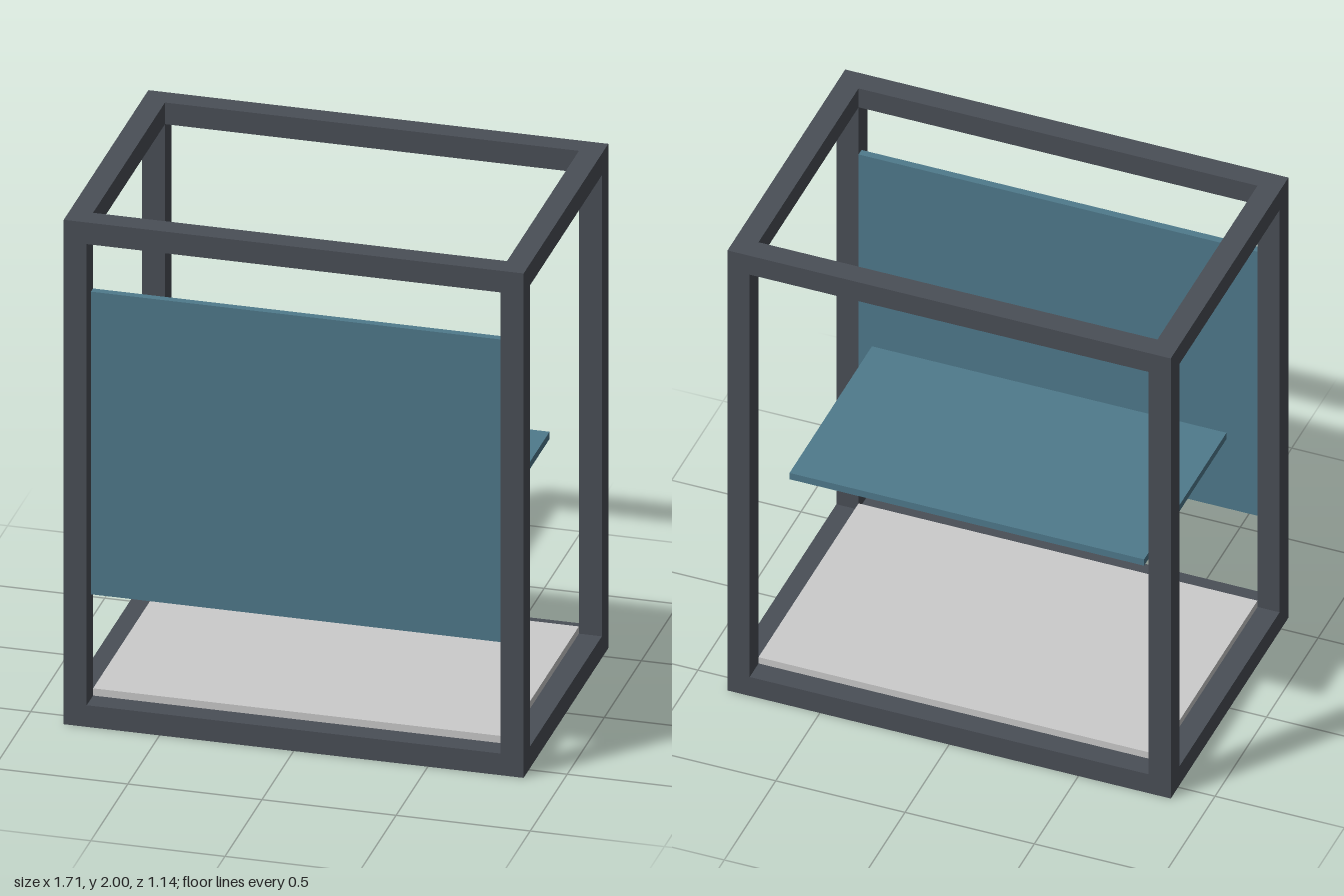
import * as THREE from 'three';

const U = 1 / 35;            // panel thickness
const BAR = 3 * U;           // square bar section
const W = 60 * U, H = 2, D = 40 * U;

export function createModel() {
  const model = new THREE.Group();
  const frameMat = new THREE.MeshStandardMaterial({ color: 0x4a4f57 });
  const panelMat = new THREE.MeshStandardMaterial({ color: 0x4f7a8c });
  const floorMat = new THREE.MeshStandardMaterial({ color: 0xcccccc });

  const box = (parent, name, size, pos, mat) => {
    const mesh = new THREE.Mesh(new THREE.BoxGeometry(...size), mat);
    mesh.name = name;
    mesh.position.set(...pos);
    parent.add(mesh);
  };

  // Open frame: four full-height posts with rails fitted between them
  const frame = new THREE.Group();
  frame.name = 'frame';
  model.add(frame);
  const px = (W - BAR) / 2, pz = (D - BAR) / 2;
  for (const sx of [-1, 1]) {
    for (const sz of [-1, 1]) {
      box(frame, 'cornerPost', [BAR, H, BAR], [sx * px, H / 2, sz * pz], frameMat);
    }
  }
  for (const [level, y] of [['bottom', BAR / 2], ['top', H - BAR / 2]]) {
    for (const s of [-1, 1]) {
      box(frame, level + 'LongRail', [W - 2 * BAR, BAR, BAR], [0, y, s * pz], frameMat);
      box(frame, level + 'SideRail', [BAR, BAR, D - 2 * BAR], [s * px, y, 0], frameMat);
    }
  }

  // Thin floor plate level with the top of the bottom rails
  box(model, 'floorPlate', [W - 2 * BAR, U, D - 2 * BAR], [0, BAR + U / 2, 0], floorMat);

  // Upright panel between the front posts, set toward their inner faces
  box(model, 'frontPanel', [W - 2 * BAR, 1.2, U], [0, 1.1, 0.5], panelMat);

  // Free-standing middle shelf
  box(model, 'middleShelf', [48 * U, U, 28 * U], [0, 0.9, 0], panelMat);

  return model;
}
